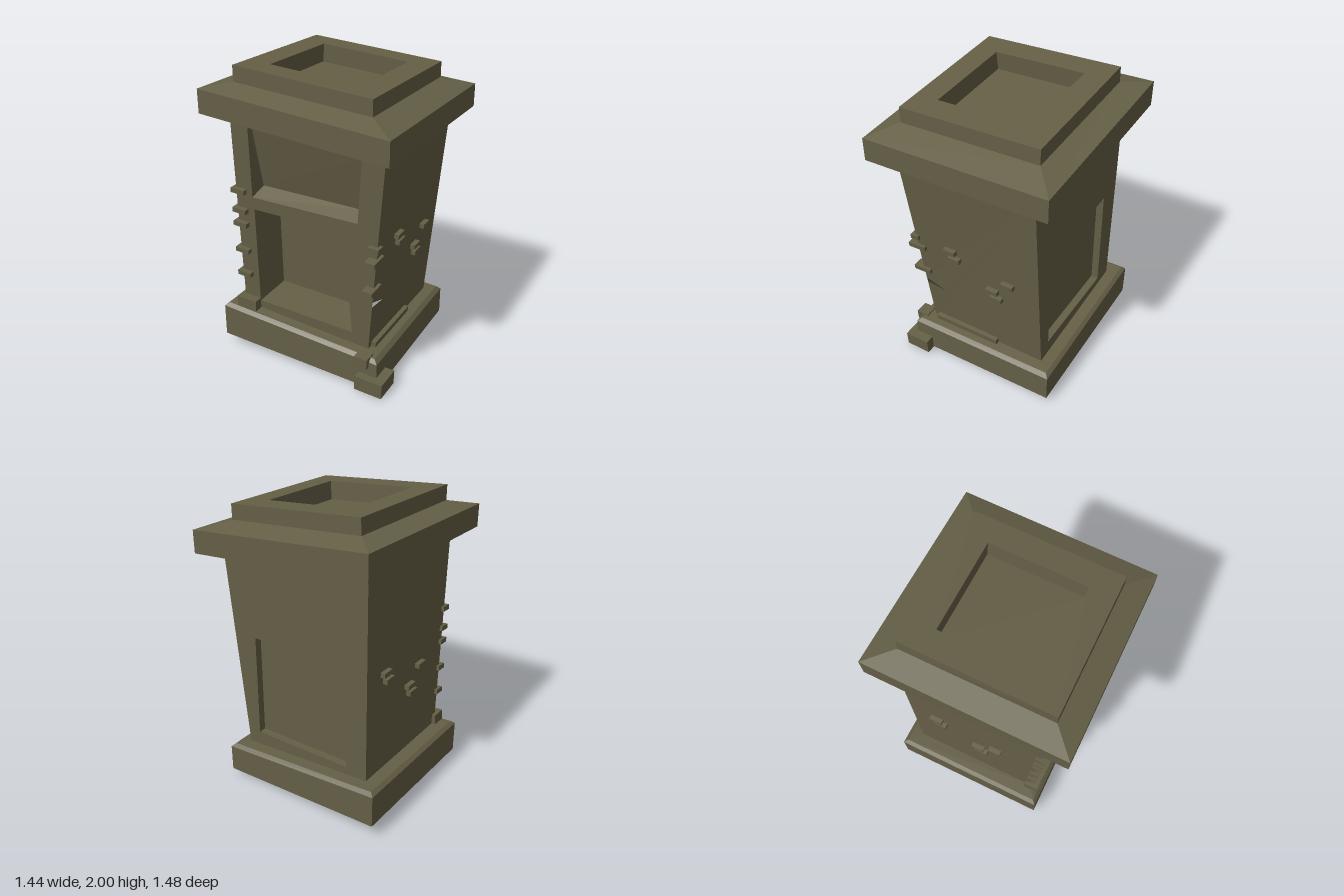
import * as THREE from 'three';

const V = (x, y, z) => new THREE.Vector3(x, y, z);
const ring = (...c) => c.map((p) => V(...p));
const stone = new THREE.MeshStandardMaterial({ color: 0x655f46, side: THREE.DoubleSide });
stone.name = 'weathered olive stone';

// Rings run front-left, front-right, back-right, back-left as seen from the front
const baseBottom = ring([-0.38, 0.01, 0.59], [0.655, 0.04, 0.4], [0.46, 0.1, -0.735], [-0.58, 0.07, -0.56]);
const baseTop = ring([-0.38, 0.2, 0.59], [0.655, 0.225, 0.4], [0.46, 0.32, -0.735], [-0.58, 0.29, -0.56]);
const shaftBottom = ring([-0.31, 0.235, 0.47], [0.54, 0.255, 0.325], [0.38, 0.33, -0.605], [-0.47, 0.31, -0.46]);
const shaftTop = ring([-0.37, 1.6, 0.62], [0.565, 1.63, 0.45], [0.385, 1.72, -0.6], [-0.55, 1.69, -0.43]);
const capBottom = ring([-0.51, 1.57, 0.74], [0.72, 1.61, 0.53], [0.51, 1.72, -0.715], [-0.72, 1.69, -0.51]);
const capTop = ring([-0.51, 1.72, 0.74], [0.72, 1.76, 0.53], [0.51, 1.88, -0.715], [-0.72, 1.84, -0.51]);
const rimBottom = ring([-0.395, 1.785, 0.54], [0.535, 1.815, 0.38], [0.38, 1.9, -0.54], [-0.55, 1.87, -0.38]);
const rimTop = ring([-0.395, 1.885, 0.54], [0.535, 1.915, 0.38], [0.38, 2.0, -0.535], [-0.55, 1.97, -0.38]);

const inset = (r, k, dx = 0, dy = 0, dz = 0) => {
  const c = r.reduce((a, p) => a.add(p), V(0, 0, 0)).multiplyScalar(1 / r.length);
  return r.map((p) => c.clone().lerp(p, k).add(V(dx, dy, dz)));
};

// Facetted surface from a list of triangle points
function facets(points, name) {
  const g = new THREE.BufferGeometry().setFromPoints(points);
  g.computeVertexNormals();
  const mesh = new THREE.Mesh(g, stone);
  mesh.name = name;
  return mesh;
}

// Skin consecutive rings, optionally closing the last one
function loft(rings, name, close = false) {
  const pts = [];
  for (let k = 0; k + 1 < rings.length; k++) {
    const a = rings[k], b = rings[k + 1], n = a.length;
    for (let i = 0; i < n; i++) {
      const j = (i + 1) % n;
      pts.push(a[i], a[j], b[j], a[i], b[j], b[i]);
    }
  }
  if (close) {
    const r = rings[rings.length - 1];
    for (let i = 1; i + 1 < r.length; i++) pts.push(r[0], r[i], r[i + 1]);
  }
  return facets(pts, name);
}

// One side of the shaft: at(s, t, depth) maps face coordinates to space
function side(i) {
  const j = (i + 1) % 4;
  const [a, b, c, d] = [shaftBottom[i], shaftBottom[j], shaftTop[j], shaftTop[i]];
  const right = b.clone().sub(a).add(c).sub(d).normalize();
  const normal = right.clone().cross(d.clone().sub(a).add(c).sub(b)).normalize();
  const up = normal.clone().cross(right);
  const at = (s, t, depth = 0) =>
    a.clone().lerp(b, s).lerp(d.clone().lerp(c, s), t).addScaledVector(normal, -depth);
  return { at, turn: new THREE.Matrix4().makeBasis(right, up, normal) };
}

function wall(face, outline, holes, name) {
  const path = (p) => p.map(([s, t]) => new THREE.Vector2(s, t));
  const shape = new THREE.Shape(path(outline));
  holes.forEach((h) => shape.holes.push(new THREE.Path(path(h))));
  const g = new THREE.ShapeGeometry(shape).toNonIndexed();
  const p = g.attributes.position, pts = [];
  for (let i = 0; i < p.count; i++) pts.push(face.at(p.getX(i), p.getY(i)));
  return facets(pts, name);
}

// Sunken pocket behind a hole; inner holds the back corners as [s, t, depth]
const pocket = (face, hole, inner, name) =>
  loft([hole.map((p) => face.at(...p)), inner.map((p) => face.at(...p))], name, true);

function brick(face, s, t, w, h, d, name) {
  const mesh = new THREE.Mesh(new THREE.BoxGeometry(w, h, d), stone);
  mesh.quaternion.setFromRotationMatrix(face.turn);
  mesh.position.copy(face.at(s, t));
  mesh.name = name;
  return mesh;
}

export function createModel() {
  const model = new THREE.Group();
  model.name = 'leaningStonePillar';
  const [front, right, back, left] = [0, 1, 2, 3].map(side);
  const square = [[0, 0], [1, 0], [1, 1], [0, 1]];

  // Hollow plinth with a narrow bevel
  model.add(loft([baseBottom, baseTop, inset(baseTop, 0.955, 0, 0.022), shaftBottom], 'plinth'));

  // Cap slab, sloped shoulder, raised rim and sunken top
  model.add(loft([inset(capBottom, 0.6), capBottom, capTop, rimBottom, rimTop,
    inset(rimTop, 0.66), inset(rimTop, 0.66, 0.002, -0.12, -0.011)], 'cap', true));

  // Front wall with a cracked corner, and plain back wall
  model.add(wall(front, [[0, 0], [1, 0], [1, 1], [0, 1], [0, 0.262], [0.17, 0.222], [0, 0.236]], [], 'frontWall'));
  model.add(wall(back, square, [], 'backWall'));

  // Right wall with a shallow square panel
  const panel = [[0.1, 0.07], [0.845, 0.04], [0.835, 0.565], [0.165, 0.582]];
  model.add(wall(right, square, [panel], 'rightWall'));
  model.add(pocket(right, panel, panel.map(([s, t]) => [s, t, 0.05]), 'rightPanel'));

  // Left wall with a window niche above a broken doorway
  const niche = [[0.12, 0.6], [0.86, 0.635], [0.86, 0.935], [0.12, 0.94]];
  const door = [[0.13, 0.04], [0.87, 0.06], [0.77, 0.56], [0.6, 0.55], [0.53, 0.59], [0.46, 0.555], [0.13, 0.54]];
  model.add(wall(left, square, [niche, door], 'leftWall'));
  model.add(pocket(left, niche,
    [[0.14, 0.635, 0.1], [0.84, 0.665, 0.1], [0.85, 0.93, 0.03], [0.13, 0.93, 0.03]], 'windowNiche'));
  model.add(pocket(left, door, door.map(([s, t]) => [s, t, 0.28]), 'doorway'));

  // Loose bricks standing out of the front and back walls
  const spots = [[0.3, 0.53], [0.33, 0.49], [0.76, 0.45], [0.625, 0.375], [0.655, 0.335]];
  spots.forEach(([s, t]) => {
    model.add(brick(front, s, t, 0.085, 0.032, 0.06, 'frontBrick'));
    model.add(brick(back, s - 0.09, t - 0.035, 0.085, 0.032, 0.06, 'backBrick'));
  });

  // Bricks along the two corners beside the doorway
  [0.62, 0.52, 0.45, 0.31, 0.18].forEach((t) =>
    model.add(brick(left, 0.03, t, 0.1, 0.032, 0.07, 'backCornerBrick')));
  [[0.54, 0.06], [0.48, 0.13], [0.33, 0.13]].forEach(([t, d]) =>
    model.add(brick(left, 0.985, t, 0.07, 0.032, d, 'frontCornerBrick')));

  // Foot ledge and fallen blocks around the base
  model.add(brick(front, 0.33, 0.012, 0.49, 0.04, 0.06, 'footLedge'));
  const block = (x, y, z, w, h, d, name) => {
    const mesh = new THREE.Mesh(new THREE.BoxGeometry(w, h, d), stone);
    mesh.position.set(x, y, z);
    mesh.rotation.set(0.05, 0.17, 0.02);
    mesh.name = name;
    model.add(mesh);
  };
  block(-0.348, 0.058, 0.55, 0.18, 0.1, 0.19, 'fallenCornerBlock');
  block(-0.475, 0.335, -0.41, 0.1, 0.085, 0.15, 'doorstepBlock');
  block(-0.385, 0.205, 0.49, 0.09, 0.07, 0.09, 'brokenPlinthBlock');
  return model;
}
